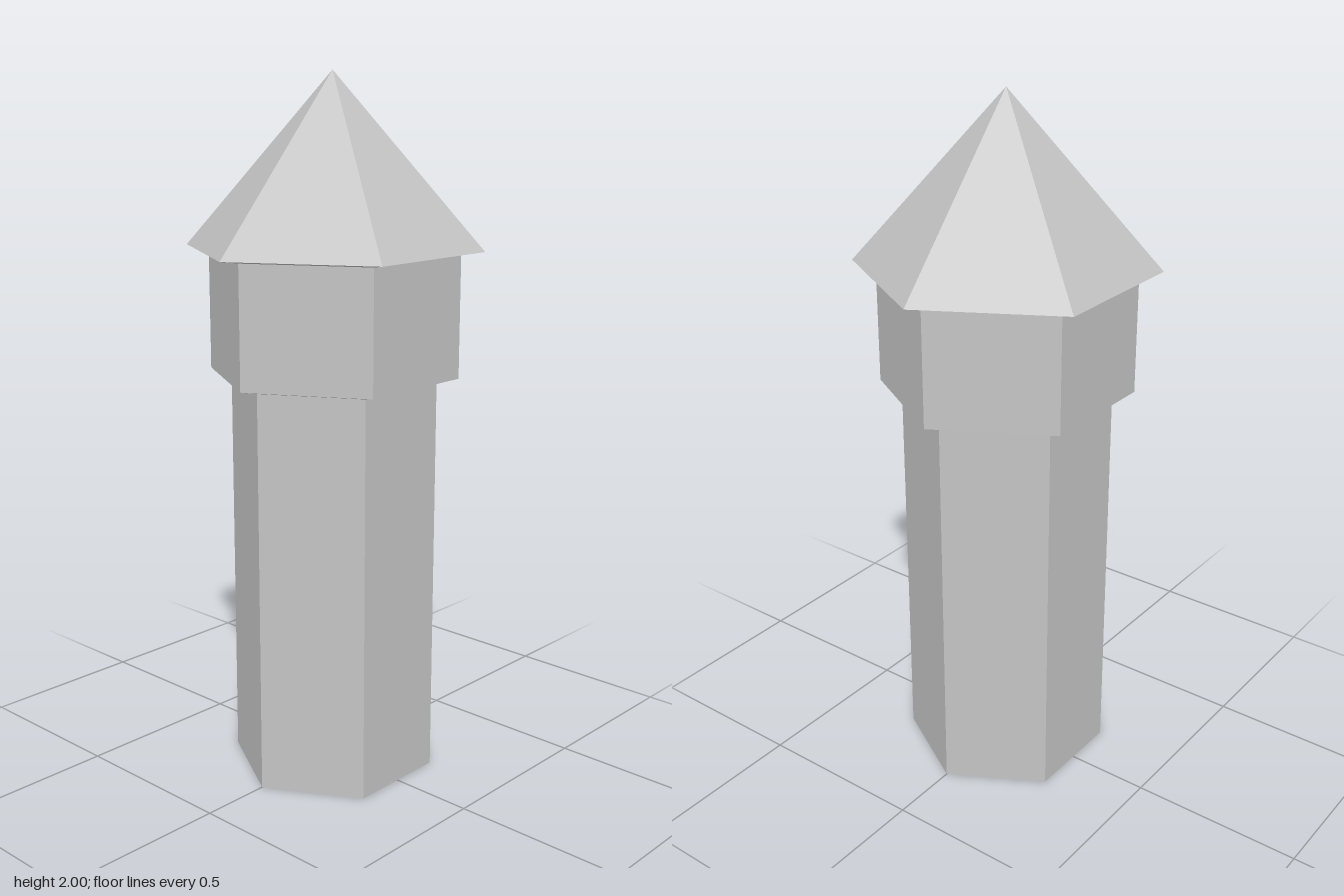
import * as THREE from 'three';

export function createModel() {
  const group = new THREE.Group();
  const stone = new THREE.MeshStandardMaterial({ color: 0xc4c4c4, flatShading: true });
  stone.name = 'greyStone';

  // Six-sided ring section with a corner facing the front
  function hexPart(name, rTop, rBottom, y0, y1, open = false) {
    const geometry = new THREE.CylinderGeometry(rTop, rBottom, y1 - y0, 6, 1, open);
    const mesh = new THREE.Mesh(geometry, stone);
    mesh.name = name;
    mesh.position.y = (y0 + y1) / 2;
    group.add(mesh);
  }

  const shaftR = 0.297, galleryR = 0.358, eaveR = 0.423;

  // Shaft with a closed base
  hexPart('shaft', shaftR, shaftR, 0, 1.157);
  // Slight flare carrying the wider upper storey
  hexPart('galleryFlare', galleryR, shaftR, 1.157, 1.17, true);
  hexPart('gallery', galleryR, galleryR, 1.17, 1.512, true);
  // Sloping underside of the eaves and the pointed roof
  hexPart('eaves', eaveR, galleryR, 1.512, 1.522, true);
  hexPart('roof', 0, eaveR, 1.522, 2, true);

  return group;
}
